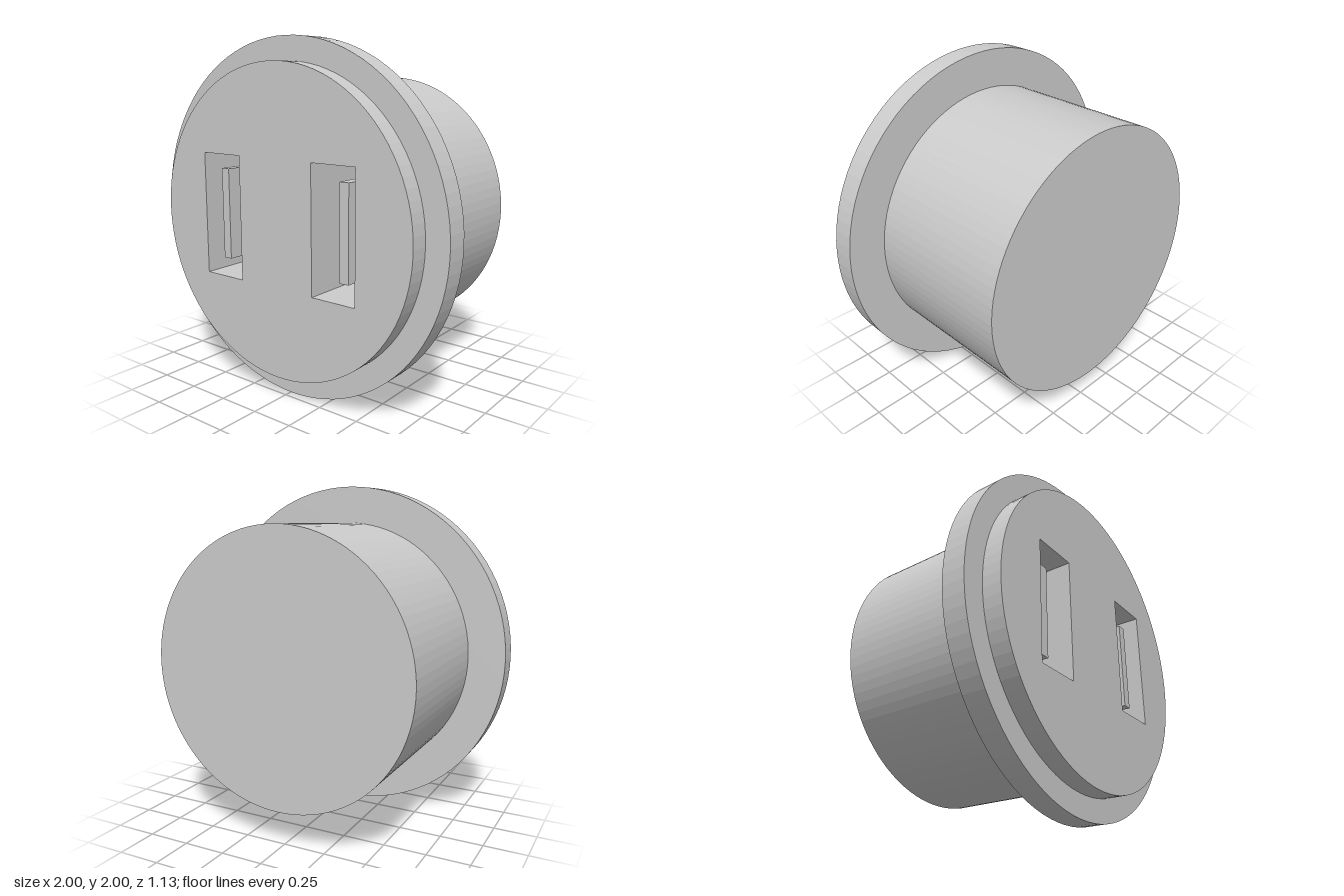
import * as THREE from 'three';

const SIDES = 48;
const SLOT_BACK = -0.2;
const CENTRE_Y = 1;

// Slot and blade extents: [left, right, bottom, top]
const SLOTS = [[-0.54, -0.26, 0.65, 1.36], [0.255, 0.535, 0.65, 1.36]];
const BLADES = [[-0.46, -0.405, 0.74, 1.27], [0.398, 0.455, 0.74, 1.27]];

export function createModel() {
  const model = new THREE.Group();
  model.name = 'plugInsert';
  const material = new THREE.MeshStandardMaterial({ color: 0xcccccc, flatShading: true });

  function addPart(name, geometry) {
    const mesh = new THREE.Mesh(geometry, material);
    mesh.name = name;
    model.add(mesh);
    return mesh;
  }

  // Round plate from zBack to zFront, optionally pierced by the two slots
  function addDisc(name, radius, zBack, zFront, pierced) {
    const shape = new THREE.Shape();
    shape.absarc(0, CENTRE_Y, radius, 0, Math.PI * 2, false);
    if (pierced) {
      for (const [x0, x1, y0, y1] of SLOTS) {
        shape.holes.push(new THREE.Path([
          new THREE.Vector2(x0, y0), new THREE.Vector2(x0, y1),
          new THREE.Vector2(x1, y1), new THREE.Vector2(x1, y0),
        ]));
      }
    }
    const geometry = new THREE.ExtrudeGeometry(shape, {
      depth: zFront - zBack, bevelEnabled: false, curveSegments: SIDES,
    });
    geometry.translate(0, 0, zBack);
    addPart(name, geometry);
  }

  // Body: raised face, wide flange, and barrel closed at the rear
  addDisc('facePlate', 0.868, 0.455, 0.565, true);
  addDisc('flange', 1, 0.32, 0.455, true);
  addDisc('barrelFront', 0.782, SLOT_BACK, 0.32, true);
  addDisc('barrelRear', 0.782, -0.565, SLOT_BACK, false);

  // Contact blades, slightly recessed in the slots
  const bladeFront = 0.51;
  BLADES.forEach(([x0, x1, y0, y1], i) => {
    const blade = addPart(i ? 'leftBlade' : 'rightBlade',
      new THREE.BoxGeometry(x1 - x0, y1 - y0, bladeFront - SLOT_BACK));
    blade.position.set((x0 + x1) / 2, (y0 + y1) / 2, (bladeFront + SLOT_BACK) / 2);
  });

  return model;
}
